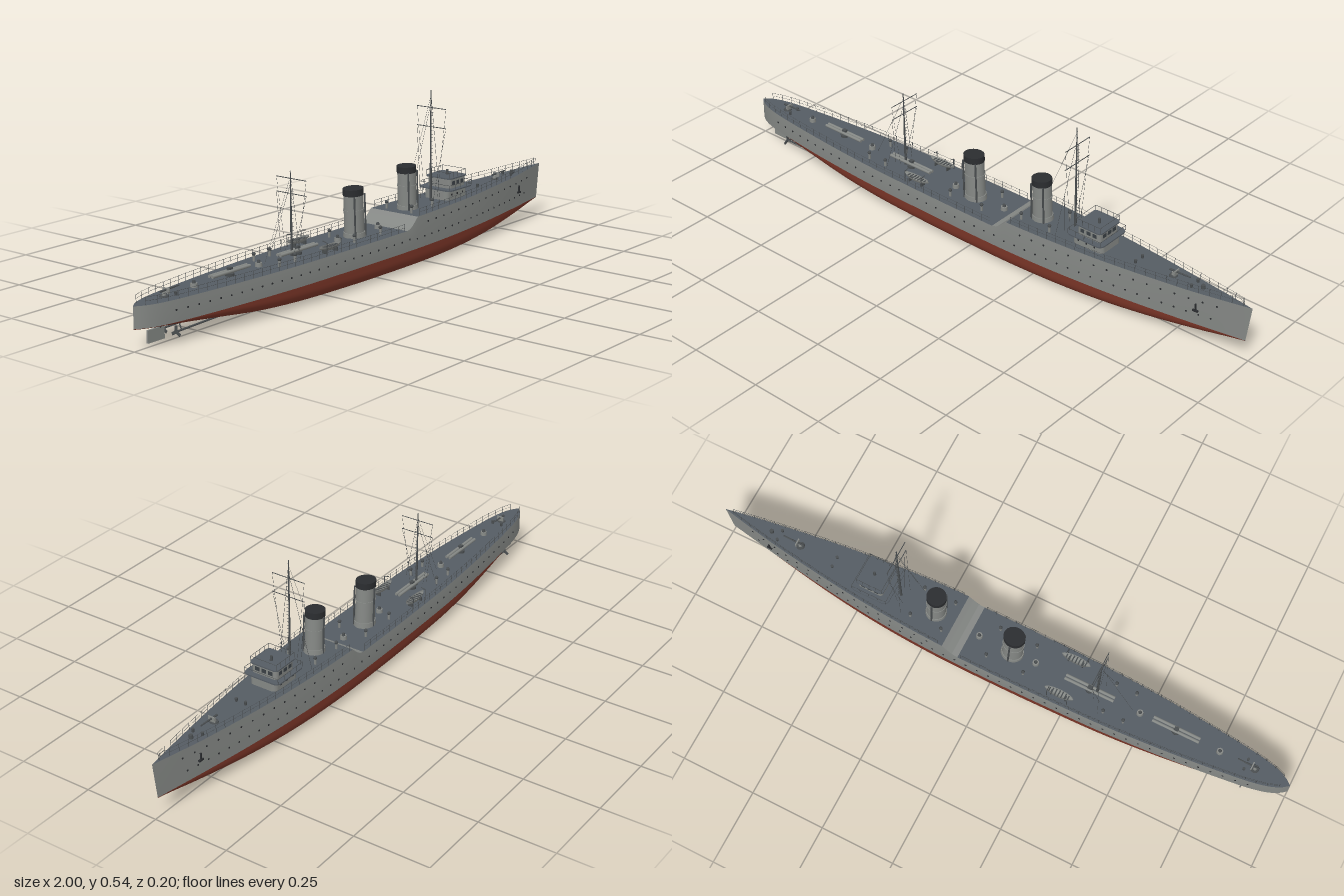
import * as THREE from 'three';

const material = (name, color, side = THREE.FrontSide) => {
  const m = new THREE.MeshStandardMaterial({ color, side });
  m.name = name;
  return m;
};
const grey = material('hull grey', 0x858885, THREE.DoubleSide);
const deckGrey = material('deck grey', 0x555c63);
const red = material('bottom red', 0x7a3527);
const black = material('funnel black', 0x2b2d30);
const dark = material('fittings grey', 0x4a4e50);
const glass = material('window grey', 0x3a4045);

// Hull lines as functions of x (bow at +x)
const curve = (xs, ys, Type = THREE.CubicInterpolant) => {
  const it = new Type(xs, ys, 1, new Float64Array(1));
  return x => it.evaluate(x)[0];
};
const breadth = curve([-1, -0.98, -0.95, -0.9, -0.8, -0.6, -0.4, -0.2, 0, 0.2, 0.4, 0.6, 0.8, 0.9, 1],
  [0, 0.016, 0.03, 0.043, 0.057, 0.077, 0.09, 0.095, 0.097, 0.095, 0.084, 0.064, 0.036, 0.019, 0]);
const sheer = curve([-1, 0.11, 0.13, 0.15, 0.165, 0.5, 0.8, 1],
  [0.13, 0.132, 0.137, 0.154, 0.168, 0.171, 0.177, 0.185], THREE.LinearInterpolant);
const keel = curve([-1, -0.97, -0.85, -0.7, -0.55, -0.4, -0.2, 0, 0.4, 0.55, 0.7, 0.85, 0.95, 1],
  [0.063, 0.06, 0.05, 0.033, 0.016, 0.007, 0.002, 0, 0.002, 0.008, 0.02, 0.039, 0.056, 0.064]);
const WATER = 0.065;

// Point on the topsides; t runs from waterline (0) to deck (1)
function sidePoint(x, t, s, out = 0) {
  const bow = Math.max(0, x);
  const w = breadth(x) * (1 - 0.25 * bow ** 4 * (1 - t)) * (1 - 0.05 * (t - 0.35) ** 2);
  return [x - 0.015 * (1 - t) * bow ** 8, WATER + (sheer(x) - WATER) * t, s * (w + out)];
}

// Smooth surface from a function of u and v
function grid(nu, nv, f) {
  const pos = [], index = [];
  for (let i = 0; i <= nu; i++) for (let j = 0; j <= nv; j++) pos.push(...f(i / nu, j / nv));
  for (let i = 0; i < nu; i++) for (let j = 0; j < nv; j++) {
    const a = i * (nv + 1) + j, b = a + nv + 1;
    index.push(a, b, b + 1, a, b + 1, a + 1);
  }
  const g = new THREE.BufferGeometry();
  g.setAttribute('position', new THREE.Float32BufferAttribute(pos, 3));
  g.setIndex(index);
  g.computeVertexNormals();
  return g;
}

function add(parent, name, geo, mat, x = 0, y = 0, z = 0) {
  const m = new THREE.Mesh(geo, mat);
  m.name = name;
  m.position.set(x, y, z);
  parent.add(m);
  return m;
}
const box = (p, name, mat, w, h, d, x, y, z) => add(p, name, new THREE.BoxGeometry(w, h, d), mat, x, y, z);
const drum = (p, name, mat, r0, r1, h, x, y, z, n = 16) =>
  add(p, name, new THREE.CylinderGeometry(r1, r0, h, n), mat, x, y + h / 2, z);
function rod(p, name, mat, a, b, r, r1 = r, n = 6) {
  const A = new THREE.Vector3(...a), d = new THREE.Vector3(...b).sub(A);
  const m = add(p, name, new THREE.CylinderGeometry(r1, r, d.length(), n), mat);
  m.position.copy(A).addScaledVector(d, 0.5);
  m.quaternion.setFromUnitVectors(new THREE.Vector3(0, 1, 0), d.normalize());
}
// Upright block with rounded corners
function slab(p, name, mat, x0, x1, hz, r, y0, y1) {
  const s = new THREE.Shape(), hx = (x1 - x0) / 2;
  [[hx - r, hz - r, 0], [r - hx, hz - r, 1], [r - hx, r - hz, 2], [hx - r, r - hz, 3]].forEach(([x, y, q]) =>
    s.absarc(x, y, r, q * Math.PI / 2, (q + 1) * Math.PI / 2));
  const g = new THREE.ExtrudeGeometry(s, { depth: y1 - y0, bevelEnabled: false, curveSegments: 6 });
  add(p, name, g.rotateX(-Math.PI / 2), mat, (x0 + x1) / 2, y0, 0);
}

function buildHull(ship) {
  for (const s of [1, -1]) add(ship, 'hullSide', grid(160, 8, (u, v) => sidePoint(s * (2 * u - 1), v, s)), grey);
  add(ship, 'hullLip', grid(80, 1, (u, v) => sidePoint(2 * u - 1, 0, 2 * v - 1)), grey);
  add(ship, 'hullBottom', grid(120, 28, (u, v) => {
    const x = 2 * u - 1, a = v * Math.PI, p = 0.55 + 0.5 * Math.abs(x) ** 3;
    const [px, , w] = sidePoint(x, 0, 1 - 0.2 * x ** 6), c = Math.cos(a);
    return [px, WATER - (WATER - keel(x)) * Math.abs(Math.sin(a)) ** p, -Math.sign(c) * w * Math.abs(c) ** p];
  }), red);
  [['aftDeck', -1, 0.11, deckGrey], ['deckBreak', 0.11, 0.165, grey], ['foreDeck', 0.165, 1, deckGrey]].forEach(([n, a, b, m]) =>
    add(ship, n, grid(60, 2, (u, v) => sidePoint(a + (b - a) * u, 1, 1 - 2 * v)), m));
  // Portholes and anchors
  const hole = new THREE.CylinderGeometry(0.003, 0.003, 0.003, 8).rotateX(Math.PI / 2);
  for (const s of [1, -1]) {
    for (let x = -0.88; x < 0.92; x += 0.04) add(ship, 'porthole', hole, black, ...sidePoint(x, x < 0.14 ? 0.55 : 0.33, s));
    for (let x = 0.22; x < 0.92; x += 0.045) add(ship, 'porthole', hole, black, ...sidePoint(x, 0.76, s));
    const [ax, ay, az] = sidePoint(0.83, 0.55, s, 0.002);
    box(ship, 'anchorShank', black, 0.004, 0.024, 0.005, ax, ay, az);
    box(ship, 'anchorFluke', black, 0.018, 0.006, 0.006, ax, ay - 0.012, az);
  }
}

function buildRails(ship) {
  const post = new THREE.CylinderGeometry(0.0009, 0.0009, 0.024, 4);
  for (const s of [1, -1]) for (const [a, b] of [[-0.97, 0.1], [0.18, 0.97]]) {
    const n = Math.round((b - a) / 0.034), pts = [];
    for (let i = 0; i <= n; i++) {
      const [x, y, z] = sidePoint(a + (b - a) * i / n, 1, s, -0.003);
      add(ship, 'railPost', post, dark, x, y + 0.012, z);
      pts.push(new THREE.Vector3(x, y, z));
    }
    for (const h of [0.012, 0.023])
      add(ship, 'railWire', new THREE.TubeGeometry(new THREE.CatmullRomCurve3(pts), n * 2, 0.0005, 4), dark, 0, h, 0);
  }
}

function buildFunnel(ship, x, y0, y1, rx, rz) {
  const f = new THREE.Group(), h = y1 - y0;
  f.name = 'funnel';
  f.position.set(x, y0, 0);
  f.rotation.z = 0.045;
  ship.add(f);
  const ring = (n, m, a, b, hh, y) => drum(f, n, m, a, b, hh, 0, y, 0, 28).scale.set(rx, 1, rz);
  ring('funnelFoot', grey, 1.14, 1.08, 0.022, -0.006);
  ring('funnelCasing', grey, 1, 0.97, h, 0);
  ring('funnelCap', black, 1.03, 1.03, 0.021, h - 0.02);
  ring('funnelBand', grey, 1.04, 1.04, 0.004, h * 0.55);
  for (const s of [1, -1]) rod(f, 'steamPipe', dark, [s * rx * 0.75, 0, rz * 0.82], [s * rx * 0.75, h * 0.88, rz * 0.82], 0.003);
  rod(f, 'steamPipe', dark, [0, 0, -rz * 1.08], [0, h * 0.88, -rz * 1.08], 0.003);
}

function buildMast(ship, x, y0, y1, yards, stay) {
  const m = new THREE.Group();
  m.name = 'mast';
  ship.add(m);
  rod(m, 'mastPole', dark, [x, y0, 0], [x - 0.004, y1, 0], 0.0042, 0.0014, 8);
  for (let y = y0 + 0.03; y < y1 - 0.06; y += 0.012) box(m, 'mastRung', dark, 0.001, 0.001, 0.011, x + 0.003, y, 0);
  yards.forEach(y => rod(m, 'yard', dark, [x, y, -0.058], [x, y, 0.058], 0.0013));
  for (const s of [1, -1]) {
    yards.forEach((y, i) => rod(m, 'rigging', dark, [x, y, s * 0.058], [x - 0.02 * i, y0 + 0.01, s * 0.025], 0.0005, 0.0005, 4));
    rod(m, 'shroud', dark, [x, y1 - 0.03, 0], [x - 0.03, y0, s * 0.06], 0.0005, 0.0005, 4);
  }
  rod(m, 'stay', dark, [x, y1 - 0.01, 0], stay, 0.0005, 0.0005, 4);
}

function buildBridge(ship) {
  const b = new THREE.Group();
  b.name = 'bridge';
  ship.add(b);
  slab(b, 'lowerHouse', grey, 0.385, 0.498, 0.048, 0.016, 0.165, 0.203);
  slab(b, 'bridgeDeck', deckGrey, 0.375, 0.507, 0.065, 0.018, 0.203, 0.207);
  slab(b, 'wheelhouse', grey, 0.402, 0.488, 0.046, 0.01, 0.207, 0.238);
  slab(b, 'roof', deckGrey, 0.396, 0.493, 0.051, 0.012, 0.238, 0.242);
  for (const z of [-0.024, 0, 0.024]) box(b, 'frontWindow', glass, 0.003, 0.013, 0.016, 0.4875, 0.224, z);
  for (const s of [1, -1]) {
    for (const x of [0.422, 0.445, 0.468]) box(b, 'sideWindow', glass, 0.014, 0.012, 0.003, x, 0.224, s * 0.0455);
    for (const x of [0.41, 0.44, 0.47]) box(b, 'housePort', black, 0.006, 0.006, 0.002, x, 0.187, s * 0.048);
  }
  // Railings of the bridge deck and roof
  for (const [x0, x1, hz, y, h] of [[0.38, 0.502, 0.062, 0.207, 0.016], [0.4, 0.489, 0.047, 0.242, 0.018]]) {
    for (const s of [1, -1]) {
      rod(b, 'bridgeRail', dark, [x0, y + h, s * hz], [x1, y + h, s * hz], 0.0007);
      for (let i = 0; i < 5; i++) rod(b, 'bridgePost', dark, [x0 + (x1 - x0) * i / 4, y, s * hz], [x0 + (x1 - x0) * i / 4, y + h, s * hz], 0.0008);
    }
    for (const x of [x0, x1]) rod(b, 'bridgeRail', dark, [x, y + h, -hz], [x, y + h, hz], 0.0007);
  }
  drum(b, 'compass', dark, 0.005, 0.004, 0.016, 0.45, 0.242, 0, 10);
}

function buildGun(ship, x, dir) {
  const y = sheer(x);
  drum(ship, 'gunBase', dark, 0.014, 0.012, 0.004, x, y, 0);
  drum(ship, 'gunPedestal', grey, 0.007, 0.005, 0.014, x, y, 0, 10);
  box(ship, 'gunShield', grey, 0.004, 0.016, 0.024, x + dir * 0.01, y + 0.015, 0);
  rod(ship, 'gunBarrel', dark, [x - dir * 0.014, y + 0.017, 0], [x + dir * 0.06, y + 0.02, 0], 0.0035, 0.002, 8);
}

function buildTorpedoMount(ship, x, half) {
  const y = sheer(x);
  drum(ship, 'torpedoTurntable', dark, 0.014, 0.014, 0.008, x, y, 0, 20);
  for (const s of [1, -1]) rod(ship, 'torpedoTube', grey, [x - half, y + 0.014, s * 0.006], [x + half, y + 0.014, s * 0.006], 0.005, 0.005, 10);
  box(ship, 'torpedoSeat', dark, 0.014, 0.01, 0.012, x, y + 0.02, 0);
}

function buildBoat(ship, x, z) {
  const y = sheer(x) + 0.008;
  add(ship, 'boatShell', grid(16, 8, (u, v) => {
    const t = 2 * u - 1, w = 0.013 * (1 - t * t) ** 0.6, a = v * Math.PI;
    return [t * 0.05, 0.013 + 0.004 * t * t - 0.014 * Math.sin(a) * (1 - 0.5 * t * t), -w * Math.cos(a)];
  }), grey, x, y, z);
  for (let i = -3; i <= 3; i++) box(ship, 'boatThwart', dark, 0.004, 0.002, 0.023 * (1 - (i / 4) ** 2) ** 0.6, x + i * 0.011, y + 0.011, z);
  for (const s of [1, -1]) {
    box(ship, 'boatCradle', dark, 0.004, 0.012, 0.018, x + s * 0.025, y - 0.002, z);
    rod(ship, 'davit', dark, [x + s * 0.035, y - 0.008, z * 1.27], [x + s * 0.035, y + 0.03, z * 1.27], 0.0013);
    rod(ship, 'davitArm', dark, [x + s * 0.035, y + 0.03, z * 1.27], [x + s * 0.035, y + 0.034, z], 0.0013);
  }
}

export function createModel() {
  const ship = new THREE.Group();
  ship.name = 'warship';
  buildHull(ship);
  buildRails(ship);
  buildFunnel(ship, -0.037, 0.131, 0.285, 0.034, 0.03);
  buildFunnel(ship, 0.234, 0.167, 0.309, 0.031, 0.03);
  buildMast(ship, 0.36, 0.168, 0.535, [0.478, 0.415], [0.27, 0.31, 0]);
  buildMast(ship, -0.336, 0.131, 0.392, [0.368, 0.322], [-0.46, 0.131, 0]);
  buildBridge(ship);
  buildGun(ship, 0.725, 1);
  buildGun(ship, -0.88, 1);
  buildTorpedoMount(ship, -0.61, 0.08);
  buildTorpedoMount(ship, -0.31, 0.085);
  for (const s of [1, -1]) buildBoat(ship, -0.232, s * 0.062);
  // Deck fittings
  for (const x of [-0.76, -0.485, -0.12, 0.08]) {
    drum(ship, 'hatch', grey, 0.011, 0.01, 0.012, x, sheer(x), 0);
    drum(ship, 'hatchLid', dark, 0.006, 0.004, 0.008, x, sheer(x) + 0.012, 0, 10);
  }
  for (const s of [1, -1]) {
    for (const x of [-0.45, -0.38, -0.1, 0.03, 0.19, 0.3]) {
      drum(ship, 'ventPipe', grey, 0.004, 0.004, 0.022, x, sheer(x), s * 0.05, 8);
      add(ship, 'ventCowl', new THREE.SphereGeometry(0.006, 8, 6), dark, x, sheer(x) + 0.022, s * 0.05);
    }
    for (const x of [-0.85, 0.6, 0.8]) drum(ship, 'bollard', dark, 0.004, 0.005, 0.011, x, sheer(x), s * 0.017, 8);
    // Shafts and propellers
    rod(ship, 'propellerShaft', dark, [-0.66, 0.034, s * 0.026], [-0.86, 0.029, s * 0.026], 0.003);
    rod(ship, 'shaftStrut', dark, [-0.84, 0.029, s * 0.026], [-0.84, 0.058, s * 0.014], 0.002);
    for (let i = 0; i < 3; i++) {
      const blade = box(ship, 'propellerBlade', dark, 0.003, 0.034, 0.009, -0.862, 0.029, s * 0.026);
      blade.geometry.translate(0, 0.009 - 0.001, 0);
      blade.scale.y = 0.7;
      blade.rotation.x = i * Math.PI * 2 / 3;
    }
  }
  drum(ship, 'capstan', dark, 0.007, 0.006, 0.012, 0.83, sheer(0.83), 0, 12);
  box(ship, 'rudder', grey, 0.065, 0.038, 0.006, -0.916, 0.03, 0);
  rod(ship, 'rudderStock', dark, [-0.9, 0.045, 0], [-0.9, 0.066, 0], 0.004);
  return ship;
}
